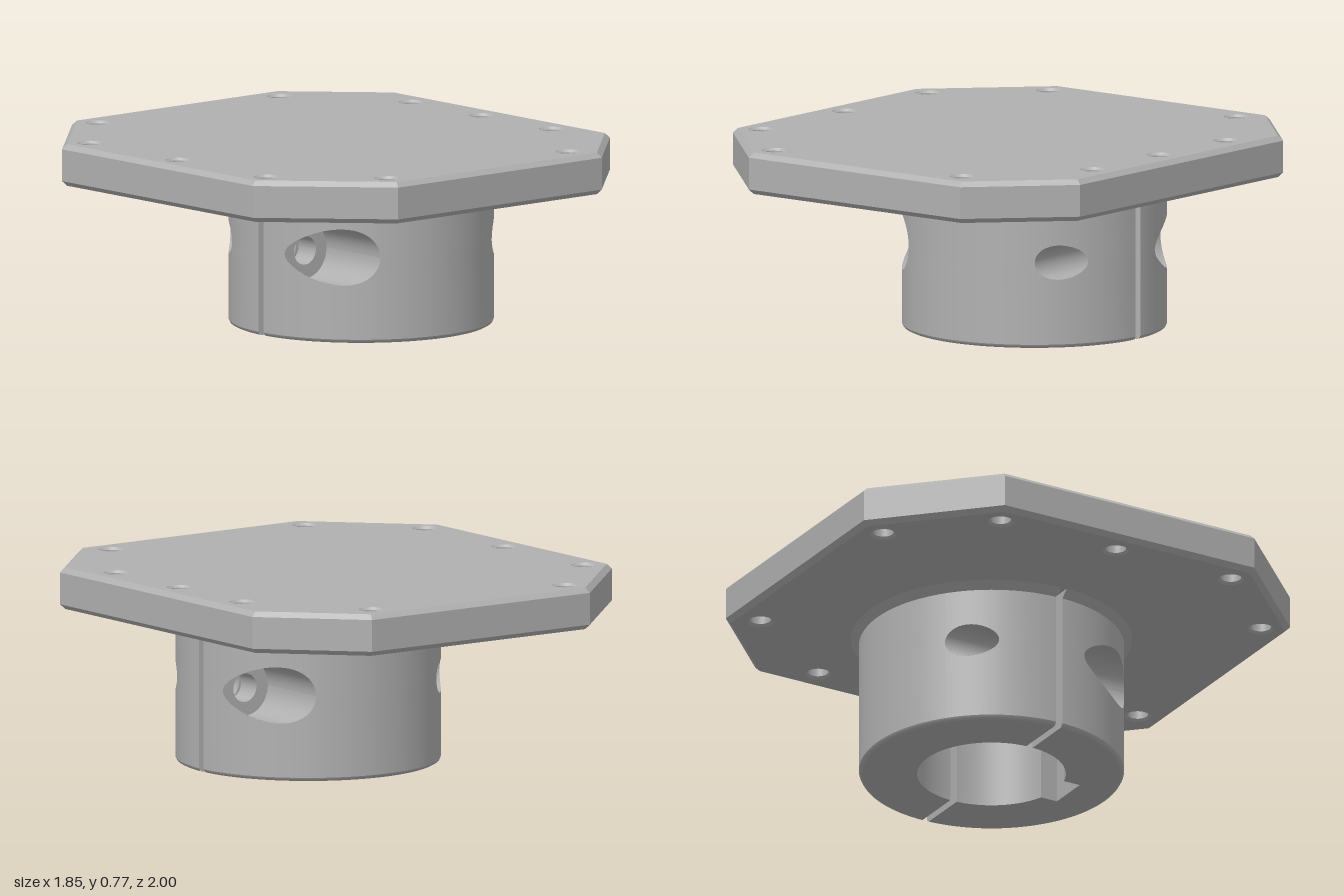
import * as THREE from 'three';

const HUB_X = 0.165, R = 0.535, BORE = 0.3, SLIT = 0.015, UNDER = 0.6, TOP = 0.77;
const SCREW_Y = 0.35, SCREW_X = 0.405, SEAT_Z = 0.12;
const steel = new THREE.MeshStandardMaterial({ color: 0xb0b0b0, side: THREE.DoubleSide });
steel.name = 'plain grey';

function add(parent, name, geometry) {
  const mesh = new THREE.Mesh(geometry, steel);
  mesh.name = name;
  parent.add(mesh);
  return mesh;
}

// Smooth surface through equally long rows of [x, y, z] points
function patch(rows) {
  const n = rows[0].length, index = [];
  for (let i = 0; i < rows.length - 1; i++) {
    for (let j = 0; j < n - 1; j++) {
      const a = i * n + j, b = a + n;
      index.push(a, a + 1, b, b, a + 1, b + 1);
    }
  }
  const g = new THREE.BufferGeometry();
  g.setAttribute('position', new THREE.Float32BufferAttribute(rows.flat(2), 3));
  g.setIndex(index);
  g.computeVertexNormals();
  return g;
}

const points = (list) => list.map(([x, y]) => new THREE.Vector2(x, y));

function circlePath(x, y, r) {
  return new THREE.Path().absarc(x, y, r, 0, Math.PI * 2, true);
}

// Flange outline, inset by b
function outline(b) {
  const k = 0.414 * b;
  return [
    [-0.51 + k, -1 + b], [0.58 - k, -1 + b], [0.925 - b, -0.655 + k], [0.925 - b, 0.655 - k],
    [0.58 - k, 1 - b], [-0.51 + k, 1 - b], [-0.925 + b, 0.585 - k], [-0.925 + b, -0.585 + k],
  ];
}

function buildFlange() {
  const flange = new THREE.Group();
  flange.name = 'flange';
  const holes = [[-0.815, 0], [0.81, 0]];
  for (const s of [-1, 1]) {
    holes.push([-0.47, 0.885 * s], [0.5, 0.885 * s], [-0.815, 0.54 * s], [0.81, 0.43 * s]);
  }
  // Top and bottom faces
  const face = new THREE.Shape(points(outline(0.02)));
  for (const [x, z] of holes) face.holes.push(circlePath(x, z, 0.052));
  add(flange, 'flangeTop', new THREE.ShapeGeometry(face, 16).rotateX(-Math.PI / 2).translate(0, TOP, 0));
  add(flange, 'flangeUnderside', new THREE.ShapeGeometry(face, 16).rotateX(Math.PI / 2).translate(0, UNDER, 0));

  // Chamfered rim
  const levels = [[0.02, UNDER], [0, UNDER + 0.02], [0, TOP - 0.02], [0.02, TOP]];
  const rings = levels.map(([b, y]) => {
    const o = outline(b);
    return [...o, o[0]].map(([x, z]) => [x, y, z]);
  });
  const rim = patch(rings).toNonIndexed();
  rim.computeVertexNormals();
  add(flange, 'flangeRim', rim);

  // Countersunk bolt holes
  const bands = [[[0.052, UNDER], [0.042, UNDER + 0.01]],
    [[0.042, UNDER + 0.01], [0.042, TOP - 0.01]], [[0.042, TOP - 0.01], [0.052, TOP]]];
  for (const [x, z] of holes) {
    for (const band of bands) {
      add(flange, 'boltHole', new THREE.LatheGeometry(points(band).reverse(), 32)).position.set(x, 0, z);
    }
  }
  return flange;
}

// Arc points in plan, from angle a to b
function arc(r, a, b, n) {
  return Array.from({ length: n + 1 }, (_, i) => {
    const t = a + (b - a) * i / n;
    return [r * Math.cos(t), r * Math.sin(t)];
  });
}

// One clamp half on the +z side of the slit
function buildHalf(withKeyway) {
  const half = new THREE.Group();
  half.name = 'clampHalf';
  const screws = [{ x: -SCREW_X, r: 0.115, end: SEAT_Z }, { x: SCREW_X, r: 0.07, end: SLIT }];
  const depth = (x) => Math.sqrt(Math.max(0, R * R - x * x));
  const d = Math.asin(SLIT / R), N = 48;

  // Outer wall in narrow columns that part around the screw holes
  const xs = arc(R, d, Math.PI - d, 64).map((p) => p[0]);
  for (const s of screws) {
    for (let i = 0; i <= N / 2; i++) xs.push(s.x + s.r * Math.cos(i * 2 * Math.PI / N));
  }
  xs.sort((a, b) => a - b);
  const columns = xs.filter((x, i) => i === 0 || x - xs[i - 1] > 1e-6);
  const gap = (x) => {
    const s = screws.find((h) => Math.abs(x - h.x) < h.r);
    return s ? Math.sqrt(s.r * s.r - (x - s.x) ** 2) : 0;
  };
  const row = (y) => columns.map((x) => [x, y(x), depth(x)]);
  add(half, 'lowerWall', patch([row(() => 0.015), row((x) => SCREW_Y - gap(x))]));
  add(half, 'upperWall', patch([row((x) => SCREW_Y + gap(x)), row(() => 0.57)]));

  // Rounded lower edge and flared neck
  const sweep = (name, profile) => add(half, name,
    new THREE.LatheGeometry(points(profile), 64, -Math.PI / 2 + d, Math.PI - 2 * d));
  sweep('lowerEdge', [[0.52, 0], [0.53, 0.005], [R, 0.015]]);
  sweep('neckFlare', [[R, 0.57], [0.567, UNDER]]);

  // Bore wall, with a square keyway on one half
  const e = Math.asin(SLIT / BORE), w = 0.09, k = Math.asin(w / BORE), side = BORE * Math.cos(k);
  const segments = withKeyway ? [
    arc(BORE, Math.PI - e, Math.PI / 2 + k, 24),
    [[-w, side], [-w, 0.36]], [[-w, 0.36], [w, 0.36]], [[w, 0.36], [w, side]],
    arc(BORE, Math.PI / 2 - k, e, 24),
  ] : [arc(BORE, Math.PI - e, e, 48)];
  for (const s of segments) {
    add(half, 'boreWall', patch([0, UNDER].map((y) => s.map(([x, z]) => [x, y, z]))));
  }

  // Bottom face
  const inner = segments.flatMap((s, i) => (i ? s.slice(1) : s));
  const base = new THREE.Shape(points([...arc(0.52, d, Math.PI - d, 64), ...inner]));
  add(half, 'bottomFace', new THREE.ShapeGeometry(base).rotateX(Math.PI / 2));

  for (const s of screws) {
    const m = Math.sign(s.x), small = Math.min(s.r, 0.058);
    const bolt = s.end === SLIT ? s.r : small;
    // Slit face
    const slit = new THREE.Shape(points([[0.298, 0], [0.52, 0], [R, 0.015], [R, 0.57],
      [0.567, UNDER], [0.298, UNDER]].map(([x, y]) => [x * m, y])));
    slit.holes.push(circlePath(s.x, SCREW_Y, bolt));
    add(half, 'slitFace', new THREE.ShapeGeometry(slit, 24).translate(0, 0, SLIT));
    // Screw hole
    const tube = (r, from, to) => patch([from, to].map((z) => Array.from({ length: N + 1 }, (_, i) => {
      const a = i * 2 * Math.PI / N, x = s.x + r * Math.cos(a);
      return [x, SCREW_Y + r * Math.sin(a), z(x)];
    })));
    add(half, 'screwHole', tube(s.r, depth, () => s.end));
    // Screw head seat and narrower shank hole
    if (s.end !== SLIT) {
      add(half, 'screwSeat', new THREE.RingGeometry(small, s.r, N).translate(s.x, SCREW_Y, s.end));
      add(half, 'shankHole', tube(small, () => s.end, () => SLIT));
    }
  }
  return half;
}

export function createModel() {
  const model = new THREE.Group();
  model.name = 'flangedClampHub';
  model.add(buildFlange());
  // Split clamp hub, the second half turned about the hub axis
  const hub = new THREE.Group();
  hub.name = 'clampHub';
  hub.position.x = HUB_X;
  const back = buildHalf(false);
  back.rotation.y = Math.PI;
  hub.add(buildHalf(true), back);
  model.add(hub);
  return model;
}
